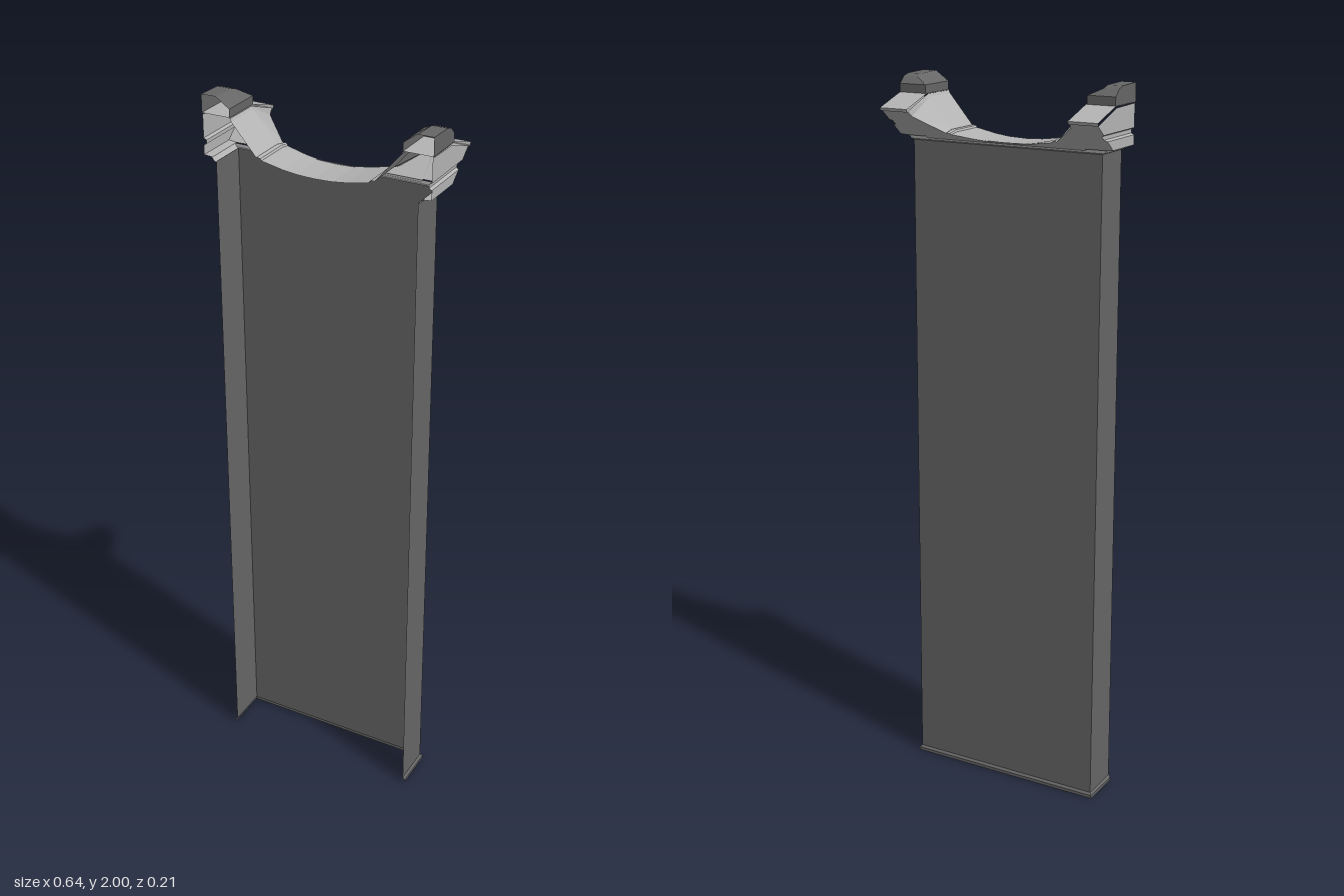
import * as THREE from 'three';

const FRONT = 0.105;

// Flat-shaded surface stretched between consecutive rows of points
function loft(name, rows, material) {
  const pos = [];
  for (let r = 0; r < rows.length - 1; r++) {
    for (let i = 0; i < rows[r].length - 1; i++) {
      const a = rows[r][i], b = rows[r][i + 1], c = rows[r + 1][i + 1], d = rows[r + 1][i];
      pos.push(...a, ...b, ...c, ...a, ...c, ...d);
    }
  }
  const geo = new THREE.BufferGeometry();
  geo.setAttribute('position', new THREE.Float32BufferAttribute(pos, 3));
  geo.computeVertexNormals();
  const mesh = new THREE.Mesh(geo, material);
  mesh.name = name;
  return mesh;
}

// Three-sided section, open at the front
const ring = (w, back, y) => [[-w, y, FRONT], [-w, y, back], [w, y, back], [w, y, FRONT]];

// Depth of the sloping back of the capital at a given height
const backZ = (y) => Math.max(-0.1, -0.006 - (y - 1.835) * 1.22);

export function createModel() {
  const dark = new THREE.MeshStandardMaterial({ color: 0x666666, side: THREE.DoubleSide });
  dark.name = 'dark grey';
  const light = new THREE.MeshStandardMaterial({ color: 0xb4b4b4, side: THREE.DoubleSide });
  light.name = 'light grey';

  const model = new THREE.Group();
  model.name = 'pilaster';

  // Tall shaft and its thin foot
  model.add(loft('shaft', [ring(0.284, -0.012, 0.014), ring(0.282, -0.003, 1.83)], dark));
  model.add(loft('foot', [
    ring(0.29, -0.018, 0), ring(0.29, -0.018, 0.009), ring(0.284, -0.012, 0.015),
  ], dark));

  // Neck moulding
  model.add(loft('neck', [
    ring(0.282, -0.003, 1.828), ring(0.289, -0.006, 1.831), ring(0.295, -0.007, 1.84),
  ], light));

  // Curved saddle: [x, front height, rear height], mirrored about the middle
  const half = [
    [0, 1.837, 1.837], [0.05, 1.839, 1.839], [0.09, 1.844, 1.843], [0.15, 1.856, 1.852],
    [0.153, 1.861, 1.855], [0.161, 1.863, 1.857], [0.165, 1.862, 1.855],
    [0.234, 1.942, 1.9], [0.238, 1.95, 1.914],
  ];
  const profile = [...half.slice(1).reverse().map(([x, a, b]) => [-x, a, b]), ...half];
  const rear = profile.map(([x, , y]) => [x, y, backZ(y)]);
  model.add(loft('saddle', [
    profile.map(([x, y]) => [x, y, FRONT]),
    profile.map(([x, y]) => [x, y, 0]),
    rear,
  ], light));

  // Sloping back below the saddle
  model.add(loft('capitalBack', [rear, profile.map(([x]) => [x, 1.835, -0.006])], light));

  for (const s of [1, -1]) {
    const side = new THREE.Group();
    side.name = s > 0 ? 'leftShoulder' : 'rightShoulder';

    // Outer side with a small groove
    const steps = [
      [0.293, 1.84], [0.317, 1.842], [0.317, 1.868], [0.309, 1.872],
      [0.309, 1.882], [0.317, 1.886], [0.317, 1.912],
    ];
    side.add(loft('shoulderSide', steps.map(([x, y]) => [[s * x, y, FRONT], [s * x, y, backZ(y)]]), light));
    side.add(loft('shoulderSideTop', [
      [[s * 0.317, 1.912, FRONT], [s * 0.317, 1.912, 0], [s * 0.317, 1.912, -0.1]],
      [[s * 0.317, 1.948, FRONT], [s * 0.317, 1.946, 0], [s * 0.317, 1.912, -0.1]],
    ], light));
    side.add(loft('shoulderBack',
      steps.map(([x, y]) => [[s * 0.236, y, backZ(y)], [s * x, y, backZ(y)]]), light));

    // Thin sloping cap with its rear lip
    const capLine = [[1.952, FRONT], [1.952, -0.008], [1.92, -0.107], [1.912, -0.104], [1.912, -0.098]];
    side.add(loft('cap', [0.236, 0.32].map((x) => capLine.map(([y, z]) => [s * x, y, z])), light));

    // Dark block on top, chamfered towards the middle and the back
    const section = (z, top) => [
      [s * 0.239, 1.95, z], [s * 0.239, 1.974, z],
      [s * (top > 1.98 ? 0.277 : 0.24), top, z], [s * 0.319, top, z], [s * 0.319, 1.95, z],
    ];
    const backEdge = section(-0.01, 1.974);
    side.add(loft('topBlock', [
      section(FRONT, 2), section(0.03, 1.998), section(0.01, 1.992), backEdge,
      backEdge.map(([x, , z]) => [x, 1.95, z]),
    ], dark));
    model.add(side);
  }
  return model;
}
